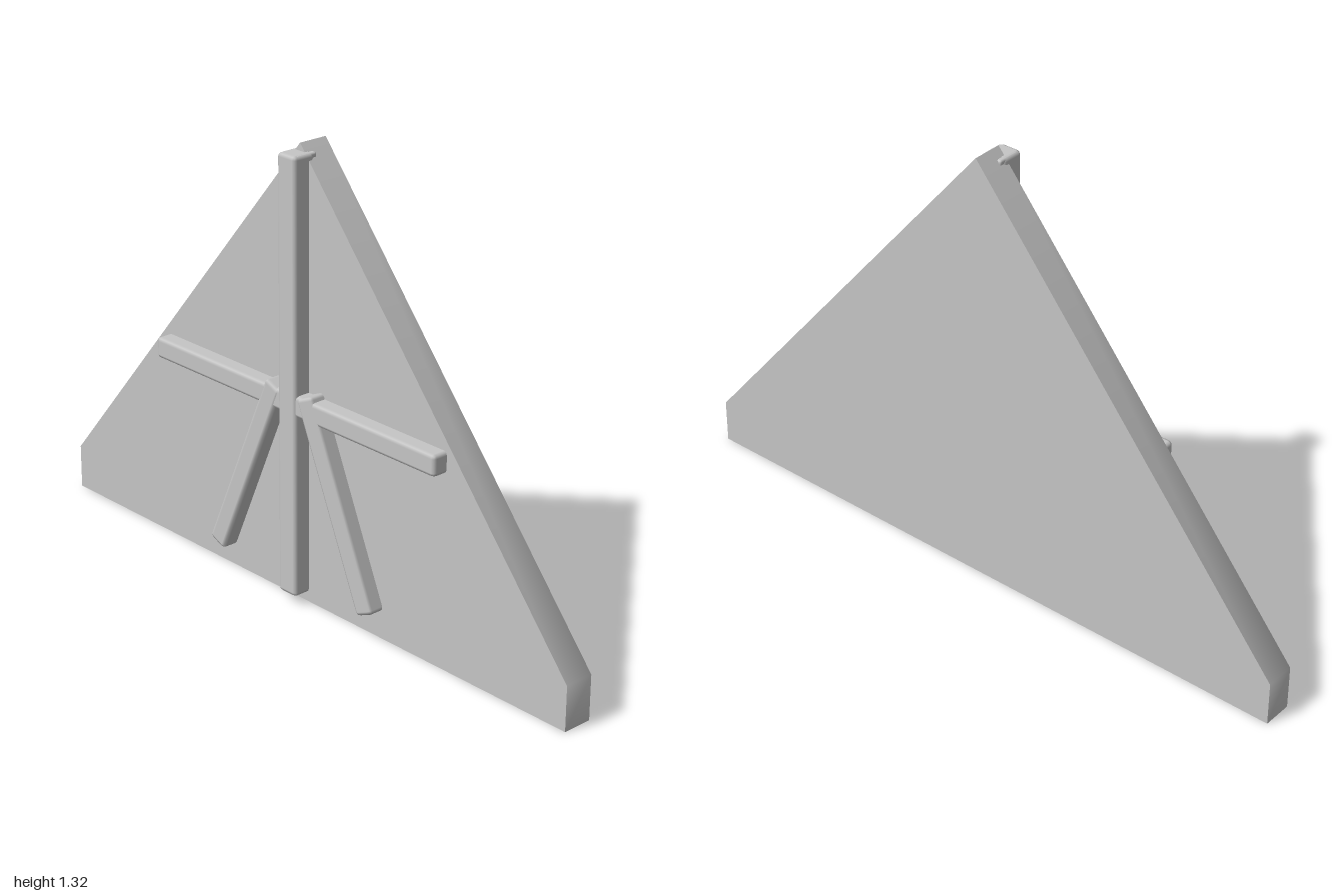
import * as THREE from 'three';
import { RoundedBoxGeometry } from 'three/addons/geometries/RoundedBoxGeometry.js';
import { toCreasedNormals } from 'three/addons/utils/BufferGeometryUtils.js';

export function createModel() {
  const group = new THREE.Group();
  const grey = new THREE.MeshStandardMaterial({ color: 0xc6c6c6 });
  grey.name = 'lightGrey';

  const add = (name, geometry) => {
    const mesh = new THREE.Mesh(geometry, grey);
    mesh.name = name;
    group.add(mesh);
    return mesh;
  };

  // Gable panel: a triangle with short upright ends, shaded smoothly round the low corners
  const outline = new THREE.Shape([
    [-1, 0], [1, 0], [1, 0.132], [0, 1.322], [-1, 0.132],
  ].map(([x, y]) => new THREE.Vector2(x, y)));
  const panel = new THREE.ExtrudeGeometry(outline, { depth: 0.09, bevelEnabled: false });
  panel.translate(0, 0, -0.07);
  add('gablePanel', toCreasedNormals(panel, Math.PI / 4));

  // Chamfered beam between two points on the front of the panel
  const beam = (name, x1, y1, x2, y2, width, front) => {
    const length = Math.hypot(x2 - x1, y2 - y1);
    const mesh = add(name, new RoundedBoxGeometry(length, width, front, 1, 0.011));
    mesh.position.set((x1 + x2) / 2, (y1 + y2) / 2, front / 2);
    mesh.rotation.z = Math.atan2(y2 - y1, x2 - x1);
  };

  beam('verticalPost', 0, 0.028, 0, 1.3, 0.07, 0.071);
  for (const [side, s] of [['left', 1], ['right', -1]]) {
    beam(side + 'CrossBeam', s * 0.02, 0.598, s * 0.56, 0.598, 0.062, 0.066);
    beam(side + 'Brace', s * 0.062, 0.634, s * 0.305, 0.075, 0.062, 0.068);
  }

  // Small lip at the top of the post, hooked back over the peak
  const lip = add('postLip', new RoundedBoxGeometry(0.065, 0.016, 0.07, 2, 0.006));
  lip.position.set(0, 1.291, 0.025);

  return group;
}
